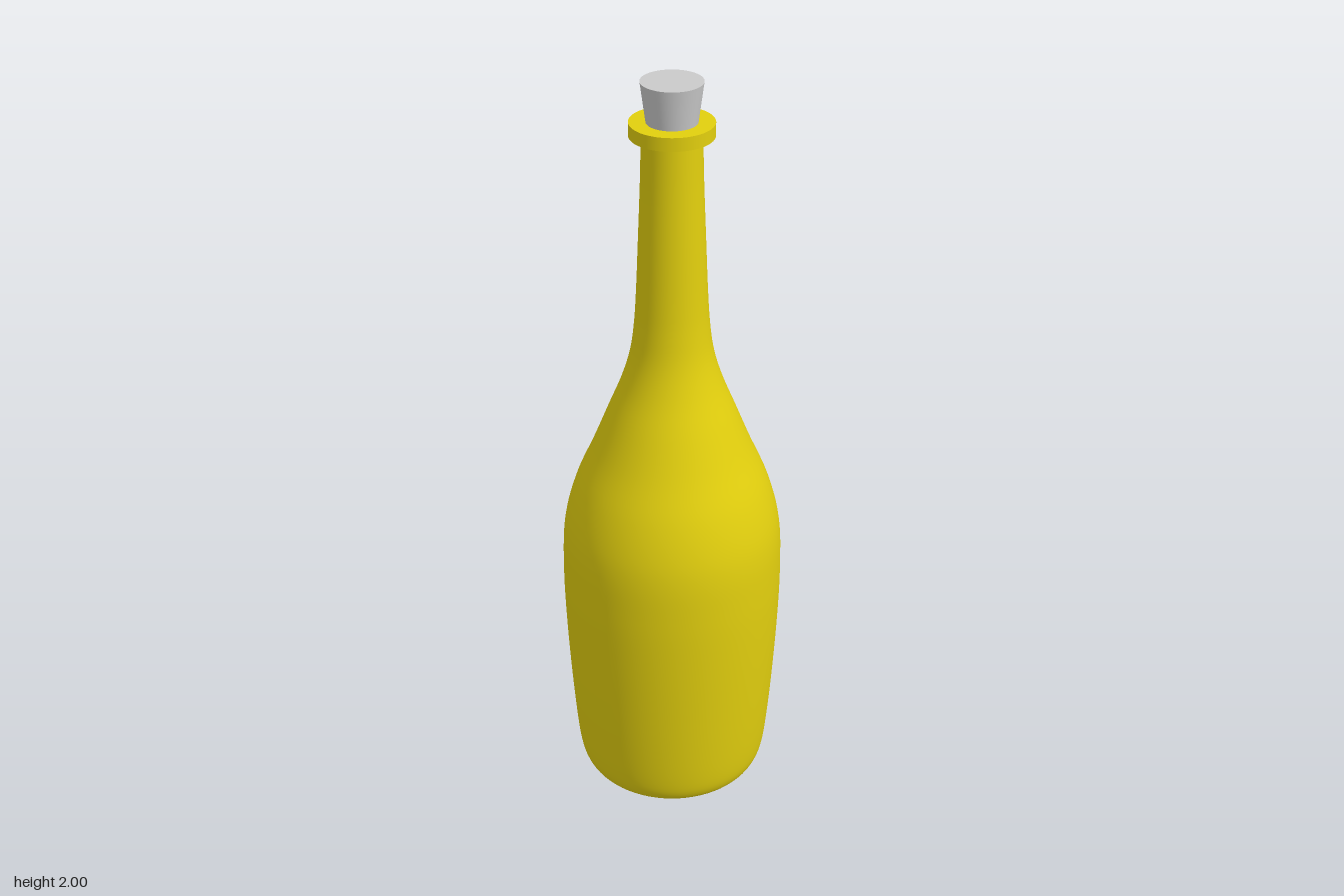
import * as THREE from 'three';

export function createModel() {
  const group = new THREE.Group();
  const glass = new THREE.MeshStandardMaterial({ color: 0xe2cf0e });
  glass.name = 'yellowGlass';
  const cork = new THREE.MeshStandardMaterial({ color: 0xcacaca });
  cork.name = 'greyCork';

  const add = (name, geometry, material, y = 0) => {
    const mesh = new THREE.Mesh(geometry, material);
    mesh.name = name;
    mesh.position.y = y;
    group.add(mesh);
  };

  // Body, shoulder and neck: one smooth turned profile (radius, height)
  const profile = new THREE.SplineCurve([
    [0.19, 0.003], [0.225, 0.01], [0.247, 0.035], [0.26, 0.09], [0.272, 0.22], [0.283, 0.4],
    [0.289, 0.55], [0.29, 0.65], [0.287, 0.75], [0.275, 0.83], [0.248, 0.92],
    [0.205, 1.02], [0.165, 1.12], [0.129, 1.21], [0.106, 1.29], [0.095, 1.37],
    [0.089, 1.46], [0.083, 1.6], [0.077, 1.75], [0.074, 1.87],
  ].map(([r, y]) => new THREE.Vector2(r, y)));
  const points = [new THREE.Vector2(0, 0), new THREE.Vector2(0.17, 0), ...profile.getPoints(90)];
  add('bottleBody', new THREE.LatheGeometry(points, 72), glass);

  // Flat collar around the mouth
  add('neckCollar', new THREE.CylinderGeometry(0.104, 0.104, 0.034, 72), glass, 1.883);

  // Tapered stopper, wider at the top
  add('stopper', new THREE.CylinderGeometry(0.076, 0.06, 0.12, 64), cork, 1.94);

  return group;
}
